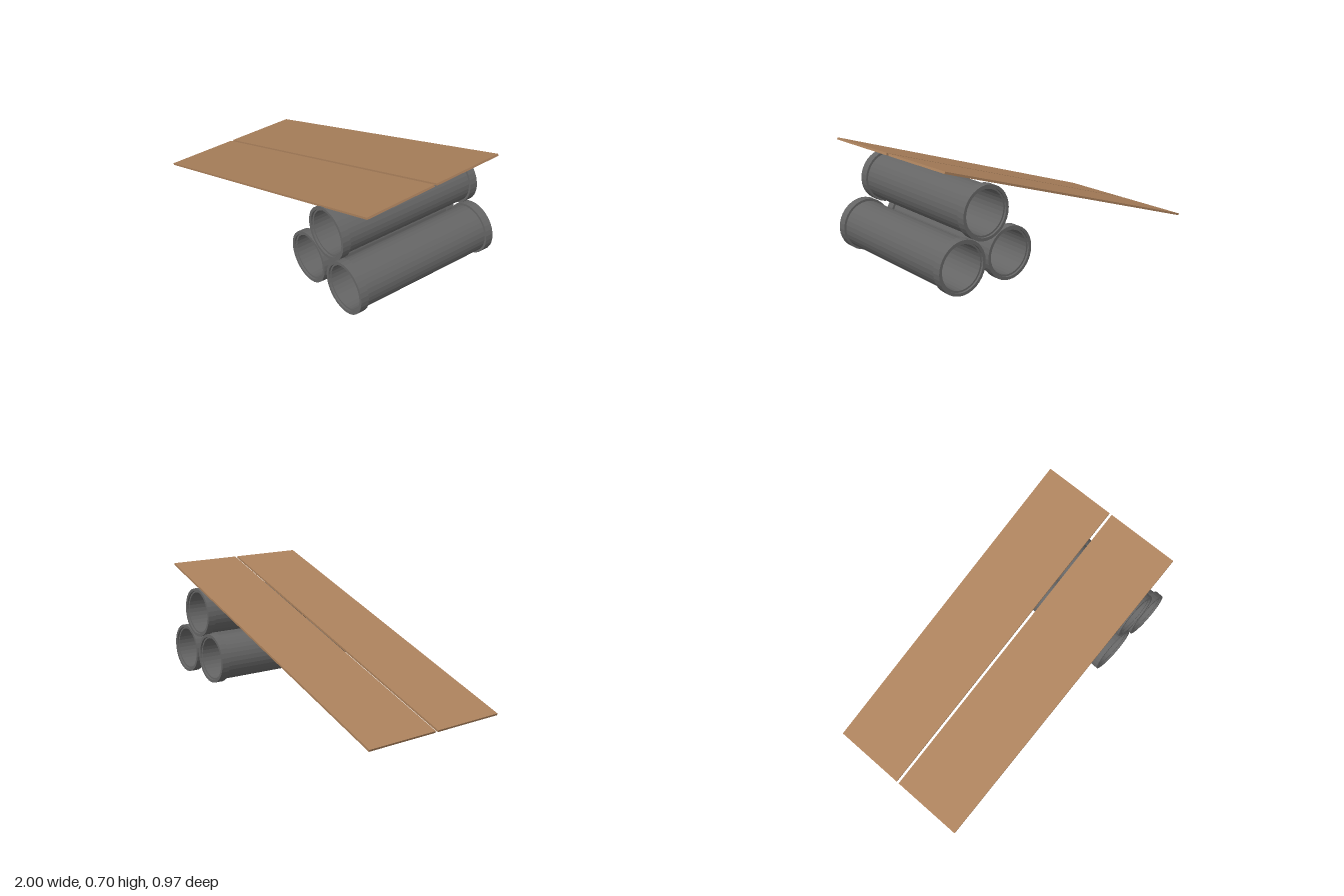
import * as THREE from 'three';

export function createModel() {
  const model = new THREE.Group();

  const wood = new THREE.MeshStandardMaterial({ color: 0xab815c });
  wood.name = 'wood';
  const pipeGrey = new THREE.MeshStandardMaterial({ color: 0x656565, flatShading: true });
  pipeGrey.name = 'pipeGrey';

  // Two planks sloping up from the ground onto the pipe stack
  const slope = 0.3386;
  for (const [name, z] of [['frontPlank', 0.234], ['backPlank', -0.244]]) {
    const plank = new THREE.Mesh(new THREE.BoxGeometry(2.0737, 0.012, 0.46), wood);
    plank.name = name;
    plank.position.set(-0.02, 0.35, z);
    plank.rotation.z = slope;
    model.add(plank);
  }

  // Hollow pipe with a raised collar and a small inner step at each end
  const half = 0.4745, collar = 0.05, step = 0.012;
  const outer = 0.153, body = 0.14, lip = 0.136, bore = 0.126;
  const profile = [
    [bore, half - step], [bore, -half + step], [lip, -half + step], [lip, -half],
    [outer, -half], [outer, -half + collar], [body, -half + collar],
    [body, half - collar], [outer, half - collar], [outer, half],
    [lip, half], [lip, half - step], [bore, half - step],
  ].map(([r, y]) => new THREE.Vector2(r, y));
  const pipeGeometry = new THREE.LatheGeometry(profile, 32).rotateX(Math.PI / 2);

  // Pyramid of three pipes, turned slightly about the vertical
  const stack = new THREE.Group();
  stack.name = 'pipeStack';
  stack.position.x = 0.667;
  stack.rotation.y = -0.04;
  for (const [name, x, y] of [
    ['lowerRightPipe', -0.162, 0.157],
    ['lowerLeftPipe', 0.162, 0.157],
    ['upperPipe', 0, 0.421],
  ]) {
    const pipe = new THREE.Mesh(pipeGeometry, pipeGrey);
    pipe.name = name;
    pipe.position.set(x, y, 0);
    stack.add(pipe);
  }
  model.add(stack);

  return model;
}
